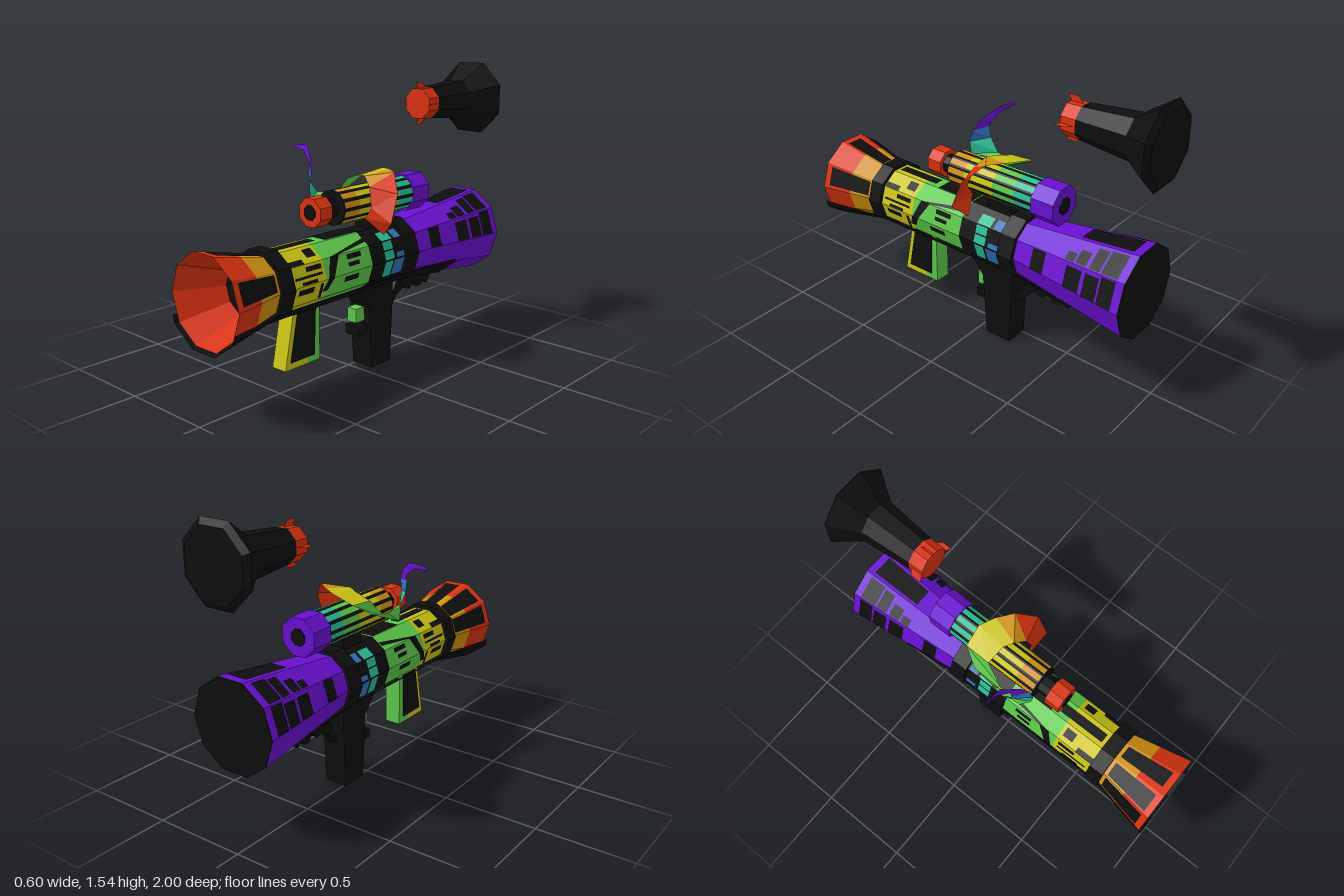
import * as THREE from 'three';

const CX = 0.05, CY = 0.6, SCOPE_Y = 0.89, ROCKET_Y = 1.35;
const TAU = Math.PI * 2;

export function createModel() {
  const group = new THREE.Group();
  const M = {};
  const colours = { black: 0x0e0e0e, red: 0xd93210, orange: 0xd09012, yellow: 0xcac315, green: 0x5cc84a,
    teal: 0x28bd98, blue: 0x2f72b8, purple: 0x6a10d2 };
  for (const [name, color] of Object.entries(colours)) {
    M[name] = new THREE.MeshStandardMaterial({ color, flatShading: true, side: THREE.DoubleSide });
    M[name].name = name;
  }
  const add = (name, geo, colour) => {
    const mesh = new THREE.Mesh(geo, M[colour]);
    mesh.name = name;
    group.add(mesh);
    return mesh;
  };
  // faceted tube along z; z0 is the front end
  const tube = (name, colour, cy, n, z0, r0, z1, r1, open = false, turn = Math.PI / n) => {
    const g = new THREE.CylinderGeometry(r0, r1, z0 - z1, n, 1, open, turn);
    g.rotateX(Math.PI / 2).translate(CX, cy, (z0 + z1) / 2);
    return add(name, g, colour);
  };
  const box = (name, colour, x0, x1, y0, y1, z0, z1) =>
    add(name, new THREE.BoxGeometry(x1 - x0, y1 - y0, z1 - z0)
      .translate((x0 + x1) / 2, (y0 + y1) / 2, (z0 + z1) / 2), colour);
  // side outline of [z, y] points, given a width across x
  const slab = (name, colour, pts, width) => {
    const shape = new THREE.Shape(pts.map(([z, y]) => new THREE.Vector2(-z, y)));
    const g = new THREE.ExtrudeGeometry(shape, { depth: width, bevelEnabled: false });
    g.translate(0, 0, -width / 2).rotateY(Math.PI / 2).translate(CX, 0, 0);
    return add(name, g, colour);
  };
  const mesh3 = (name, colour, tris) => {
    const g = new THREE.BufferGeometry();
    g.setAttribute('position', new THREE.Float32BufferAttribute(tris.flat(), 3));
    g.computeVertexNormals();
    return add(name, g, colour);
  };
  // painted convex polygons of [z, u] points on facet k of an n-sided tube
  const paint = (name, colour, list, cy, n, radius) => {
    const tris = [];
    for (const [k, pts] of list) {
      const p = pts.map(([z, u]) => {
        const r = radius(z) + 0.004, a = k / n * TAU, b = (k + 1) / n * TAU;
        return [CX + r * (Math.cos(a) * (1 - u) + Math.cos(b) * u), cy + r * (Math.sin(a) * (1 - u) + Math.sin(b) * u), z];
      });
      for (let i = 1; i < p.length - 1; i++) tris.push(...p[0], ...p[i], ...p[i + 1]);
    }
    mesh3(name, colour, tris);
  };
  const rect = (k, z0, z1, u0, u1) => [k, [[z0, u0], [z1, u0], [z1, u1], [z0, u1]]];
  const bothSides = list => [...list, ...list.map(([k, pts]) => [4 - k, pts.map(([z, u]) => [z, 1 - u])])];
  const bodyR = z => z > 0.68 ? 0.16 + (z - 0.68) * 0.2295 : z < -0.3 ? 0.16 + (-0.3 - z) * 0.125 : 0.16;

  // launch tube, from muzzle to rear
  const sections = [['muzzleBell', 'red', 0.985, 0.82], ['muzzleNeck', 'orange', 0.82, 0.68], ['frontBarrel', 'yellow', 0.68, 0.38],
    ['midBarrel', 'green', 0.38, 0.05], ['receiver', 'black', 0.05, -0.3], ['rearCone', 'purple', -0.3, -0.94]];
  for (const [name, colour, z0, z1] of sections) tube(name, colour, CY, 10, z0, bodyR(z0), z1, bodyR(z1), true);
  tube('muzzleInside', 'red', CY, 10, 0.985, 0.23, 0.75, 0.127, true);
  tube('boreEnd', 'black', CY, 10, 0.753, 0.128, 0.745, 0.128);
  tube('rearCap', 'black', CY, 10, -0.935, 0.238, -0.943, 0.238);
  tube('frontBand', 'black', CY, 10, 0.68, 0.18, 0.6, 0.18);
  tube('rearBand', 'black', CY, 10, -0.21, 0.18, -0.3, 0.18);

  // black trough wrapped under the tube
  const trough = [[1, 0.245], [0.66, 0.178], [-0.3, 0.178], [-0.63, 0.211]].map(([z, R]) => {
    const x = R * Math.cos(Math.PI / 5), y = R * Math.sin(Math.PI / 5), t = Math.min(1, 0.1 / y);
    const side = [[R + (x - R) * t, -0.1], [x, -y], [R * Math.cos(TAU / 5), -R * Math.sin(TAU / 5)]];
    return [...side, ...side.map(([a, b]) => [-a, b]).reverse()].map(([a, b]) => [CX + a, CY + b, z]);
  });
  const troughTris = [];
  for (let s = 0; s < trough.length - 1; s++) {
    const a = trough[s], b = trough[s + 1];
    for (let i = 0; i < 5; i++) troughTris.push(...a[i], ...a[i + 1], ...b[i], ...b[i], ...a[i + 1], ...b[i + 1]);
  }
  mesh3('lowerTrough', 'black', troughTris);

  // black markings on the tube
  const marks = bothSides([
    rect(0, 0.95, 0.7, 0.14, 0.9),
    rect(0, 0.58, 0.4, 0.34, 0.46), rect(0, 0.5, 0.4, 0.62, 0.85), rect(0, 0.54, 0.44, 0.05, 0.2),
    rect(1, 0.6, 0.5, 0, 0.3), rect(1, 0.46, 0.4, 0.3, 0.8), rect(-1, 0.56, 0.46, 0.55, 0.85), rect(-1, 0.42, 0.4, 0.1, 0.9),
    [0, [[0.37, 0], [0.33, 0], [0.27, 1], [0.33, 1]]], [-1, [[0.4, 0.4], [0.36, 0.4], [0.33, 1], [0.37, 1]]],
    [1, [[0.33, 0], [0.27, 0], [0.05, 0.3], [0.05, 0.55]]],
    rect(0, 0.22, 0.14, 0.3, 0.5), rect(0, 0.22, 0.12, 0.65, 0.9), rect(-1, 0.25, 0.15, 0.55, 0.85),
    rect(0, -0.41, -0.49, 0.03, 0.97), rect(0, -0.62, -0.71, 0.03, 0.85), rect(0, -0.73, -0.81, 0.03, 0.85),
    rect(0, -0.82, -0.9, 0.03, 0.95), rect(1, -0.6, -0.65, 0.05, 0.4), rect(1, -0.66, -0.72, 0.05, 0.6),
    rect(1, -0.74, -0.8, 0.05, 0.85), rect(1, -0.81, -0.9, 0.05, 0.9),
  ]).concat([
    rect(3, 0.95, 0.7, 0.12, 0.88), rect(2, 0.95, 0.7, 0.1, 0.75),
    rect(2, 0.58, 0.32, 0.25, 0.75), rect(2, -0.62, -0.9, 0.12, 0.88), rect(2, 0.28, 0.05, 0, 1),
  ]);
  paint('tubeMarkings', 'black', marks, CY, 10, bodyR);
  // coloured side windows on the receiver
  paint('tealWindows', 'teal', bothSides([rect(0, -0.05, -0.12, 0.05, 0.48), rect(0, -0.05, -0.12, 0.55, 0.98),
    rect(-1, -0.05, -0.11, 0.05, 0.95), rect(1, -0.05, -0.13, 0.05, 0.6)]), CY, 10, bodyR);
  paint('blueWindows', 'blue', bothSides([rect(0, -0.14, -0.2, 0.05, 0.3), rect(-1, -0.12, -0.2, 0.05, 0.95),
    rect(1, -0.15, -0.2, 0.05, 0.6)]), CY, 10, bodyR);

  // foregrip
  slab('foregripFront', 'yellow', [[0.49, 0.45], [0.55, 0.155], [0.4, 0.155], [0.38, 0.45]], 0.09);
  slab('foregripBack', 'green', [[0.38, 0.45], [0.4, 0.155], [0.315, 0.155], [0.315, 0.45]], 0.09);
  slab('foregripPanel', 'black', [[0.465, 0.44], [0.515, 0.19], [0.355, 0.19], [0.345, 0.44]], 0.1);

  // rear grip, trigger and under-rail
  slab('rearGrip', 'black', [[0.05, 0.45], [-0.03, 0.35], [-0.055, 0], [-0.205, 0], [-0.22, 0.32], [-0.22, 0.45]], 0.13);
  box('triggerButton', 'green', 0.02, 0.08, 0.26, 0.335, -0.04, 0.03);
  box('triggerRest', 'black', 0.005, 0.095, 0.19, 0.24, -0.05, 0.03);
  slab('gripStrut', 'black', [[-0.21, 0.26], [-0.25, 0.26], [-0.3, 0.33], [-0.37, 0.37], [-0.37, 0.44],
    [-0.31, 0.42], [-0.27, 0.36], [-0.24, 0.29], [-0.21, 0.29]], 0.05);
  slab('underRail', 'black', [[-0.3, 0.45], [-0.36, 0.36], [-0.4, 0.35], [-0.42, 0.375], [-0.45, 0.375], [-0.46, 0.35],
    [-0.5, 0.35], [-0.52, 0.375], [-0.55, 0.35], [-0.59, 0.42], [-0.59, 0.45]], 0.08);

  // scope and mount
  box('scopeMount', 'black', 0, 0.1, 0.72, 0.86, -0.2, -0.05);
  tube('scopeEyepiece', 'red', SCOPE_Y, 8, 0.33, 0.076, 0.245, 0.076);
  tube('scopeLens', 'black', SCOPE_Y, 8, 0.334, 0.04, 0.32, 0.04);
  tube('scopeNeck', 'black', SCOPE_Y, 8, 0.25, 0.052, 0.17, 0.052);
  tube('scopeBody', 'black', SCOPE_Y, 12, 0.18, 0.09, -0.35, 0.09, false, 0);
  tube('scopeRear', 'purple', SCOPE_Y, 8, -0.35, 0.104, -0.48, 0.104);
  tube('scopeRearLens', 'black', SCOPE_Y, 8, -0.47, 0.045, -0.484, 0.045);
  for (const [colour, z0, z1] of [['orange', 0.175, 0.07], ['yellow', 0.07, -0.11], ['green', -0.11, -0.24], ['teal', -0.24, -0.35]])
    paint(colour + 'ScopeStripes', colour, Array.from({ length: 12 }, (_, k) => rect(k, z0, z1, 0.2, 0.8)), SCOPE_Y, 12, () => 0.09);

  // rainbow ribbon curling around the scope: [colour of next strip, edge A, edge B]
  const ribbon = [
    ['purple', [-0.3, 1.145, 0.09], [-0.29, 1.165, 0.09]],
    ['purple', [-0.22, 1.14, 0.1], [-0.19, 1.168, 0.1]],
    ['purple', [-0.15, 1.085, 0.13], [-0.11, 1.11, 0.16]],
    ['blue', [-0.15, 1.06, 0.14], [-0.075, 1.045, 0.19]],
    ['teal', [-0.15, 1.0, 0.13], [-0.07, 0.98, 0.21]],
    ['green', [-0.145, 0.93, 0.08], [-0.075, 0.91, 0.2]],
    ['green', [-0.13, 0.92, 0], [-0.1, 0.83, 0.15]],
    ['green', [-0.12, 0.94, -0.12], [-0.1, 0.88, 0.03]],
    ['yellow', [-0.07, 1, -0.21], [-0.07, 0.99, -0.07]],
    ['yellow', [0.04, 1.04, -0.22], [0.03, 1.02, -0.06]],
    ['orange', [0.12, 1.047, -0.18], [0.08, 1.025, -0.03]],
    ['red', [0.2, 1.047, -0.12], [0.14, 0.98, 0]],
    ['red', [0.29, 0.96, -0.04], [0.17, 0.88, 0.02]],
    ['red', [0.297, 0.82, 0.015], [0.13, 0.82, 0.02]],
    ['red', [0.22, 0.745, -0.02], [0.21, 0.75, -0.02]],
  ];
  for (let i = 0; i < ribbon.length - 1; i++) {
    const [colour, a, b] = ribbon[i], [, c, d] = ribbon[i + 1];
    mesh3('ribbonStrip', colour, [...a, ...b, ...c, ...c, ...b, ...d]);
  }

  // floating rocket with four thin tail fins
  const profile = [[-0.565, 0.087], [-0.84, 0.112], [-0.98, 0.211], [-1, 0.178]];
  for (let i = 0; i < 3; i++)
    tube(['rocketBody', 'rocketFlare', 'rocketRim'][i], 'black', ROCKET_Y, 8, ...profile[i], ...profile[i + 1]);
  tube('rocketTail', 'red', ROCKET_Y, 8, -0.49, 0.085, -0.57, 0.088);
  for (let i = 0; i < 4; i++) {
    const c = Math.cos(i * Math.PI / 2), s = Math.sin(i * Math.PI / 2);
    const [a, b, d, e] = [[0.06, -0.565], [0.075, -0.565], [0.112, -0.53], [0.112, -0.475]]
      .map(([r, z]) => [CX + r * c, ROCKET_Y + r * s, z]);
    const f = [CX + 0.07 * c, ROCKET_Y + 0.07 * s, -0.5];
    mesh3('rocketFin', 'red', [...a, ...b, ...d, ...a, ...d, ...f, ...f, ...d, ...e]);
  }
  return group;
}
